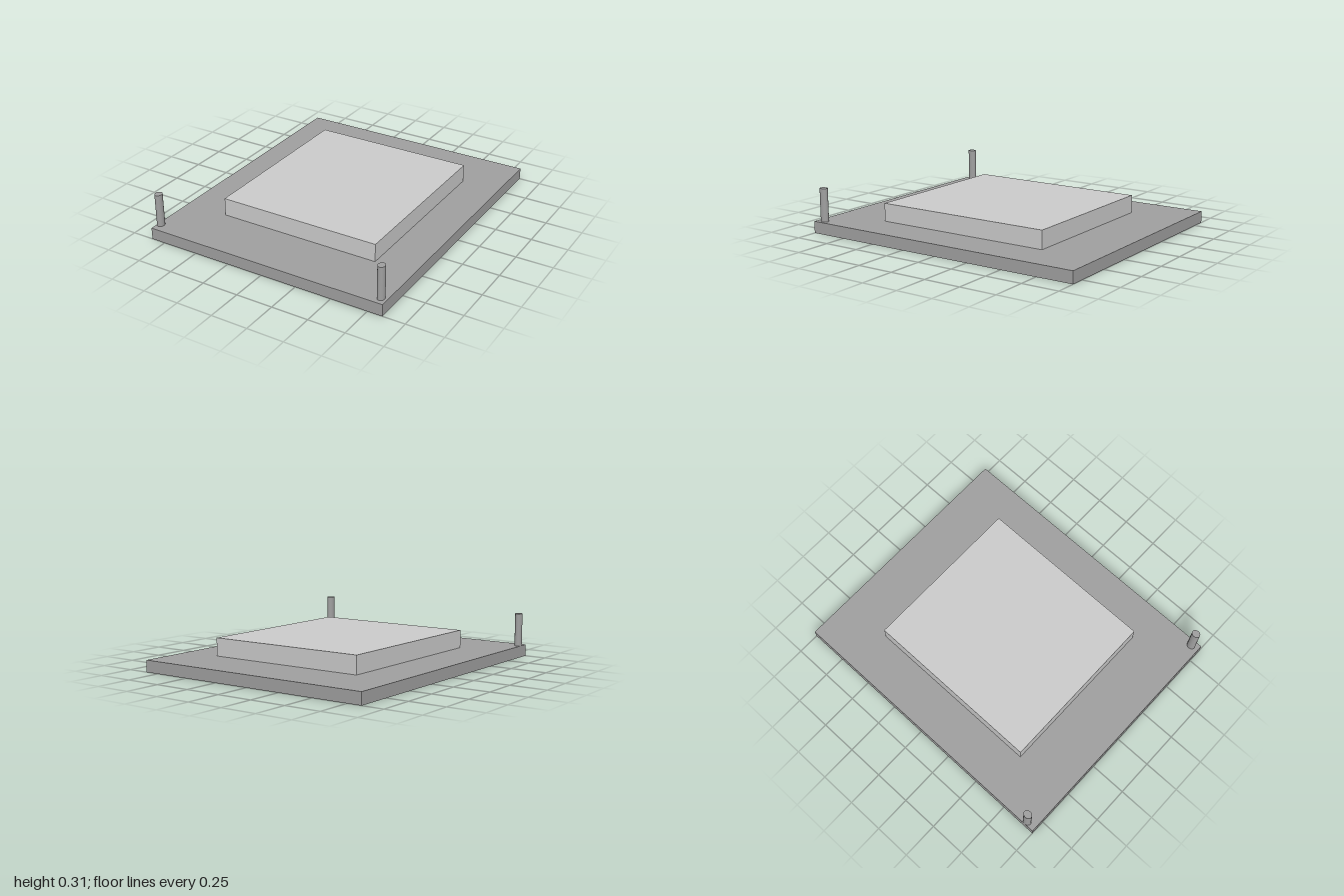
import * as THREE from 'three';

export function createModel() {
  const group = new THREE.Group();
  const dark = new THREE.MeshStandardMaterial({ color: 0xa0a0a0 });
  const light = new THREE.MeshStandardMaterial({ color: 0xcccccc });

  const add = (name, geometry, material, x, y, z) => {
    const mesh = new THREE.Mesh(geometry, material);
    mesh.name = name;
    mesh.position.set(x, y, z);
    group.add(mesh);
    return mesh;
  };

  // Flat base plate
  const baseTop = 0.08;
  add('basePlate', new THREE.BoxGeometry(1.7, baseTop, 2), dark, 0, baseTop / 2, 0);

  // Raised slab, slightly off centre
  const slabHeight = 0.122;
  add('raisedSlab', new THREE.BoxGeometry(1.128, slabHeight, 1.236), light,
    0.019, baseTop + slabHeight / 2, -0.002);

  // Slightly oval posts at the front corners
  const postHeight = 0.225;
  const postGeometry = new THREE.CylinderGeometry(1, 1, postHeight, 32);
  postGeometry.scale(0.024, 1, 0.029);
  for (const [name, x, z] of [['leftPost', 0.809, 0.943], ['rightPost', -0.826, 0.932]]) {
    add(name, postGeometry, dark, x, baseTop + postHeight / 2, z);
  }

  return group;
}
